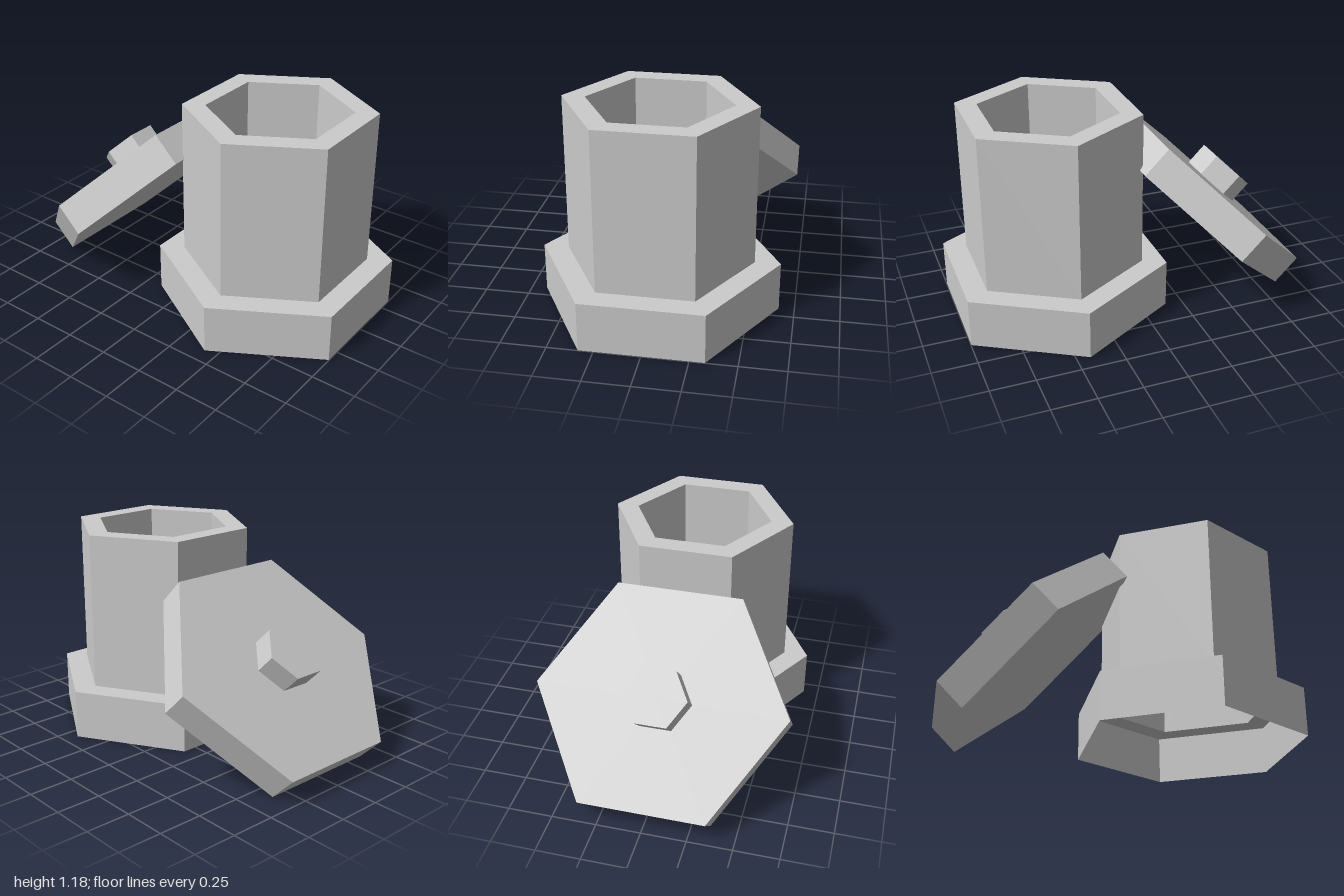
import * as THREE from 'three';

export function createModel() {
  const model = new THREE.Group();
  const grey = new THREE.MeshStandardMaterial({ color: 0xcccccc, flatShading: true, side: THREE.DoubleSide });
  grey.name = 'plain grey';

  const add = (parent, name, geometry, y = 0) => {
    const mesh = new THREE.Mesh(geometry, grey);
    mesh.name = name;
    mesh.position.y = y;
    parent.add(mesh);
  };
  // six-sided shell from [radius, height] points, corners on +z and -z
  const hexShell = (points) =>
    new THREE.LatheGeometry(points.map(([r, y]) => new THREE.Vector2(r, y)), 6);
  const hexPrism = (r, h) => new THREE.CylinderGeometry(r, r, h, 6);

  // Jar: hollow foot with a ledge, and a body with a recessed well
  const jar = new THREE.Group();
  jar.name = 'jar';
  jar.position.x = 0.423;
  add(jar, 'foot', hexShell([[0.664, 0], [0.664, 0.28], [0.522, 0.28]]));
  add(jar, 'body', hexShell([[0.522, 0.28], [0.522, 1.18], [0.396, 1.18], [0.396, 0.72], [0, 0.72]]));
  model.add(jar);

  // Lid with knob, leaning at 45 degrees against the jar
  const lid = new THREE.Group();
  lid.name = 'lid';
  lid.position.set(-0.435, 0.433, 0);
  lid.rotation.z = Math.PI / 4;
  add(lid, 'lidPlate', hexPrism(0.7, 0.193), 0.0965);
  add(lid, 'knob', hexPrism(0.175, 0.137), 0.193 + 0.0685);
  model.add(lid);

  return model;
}
